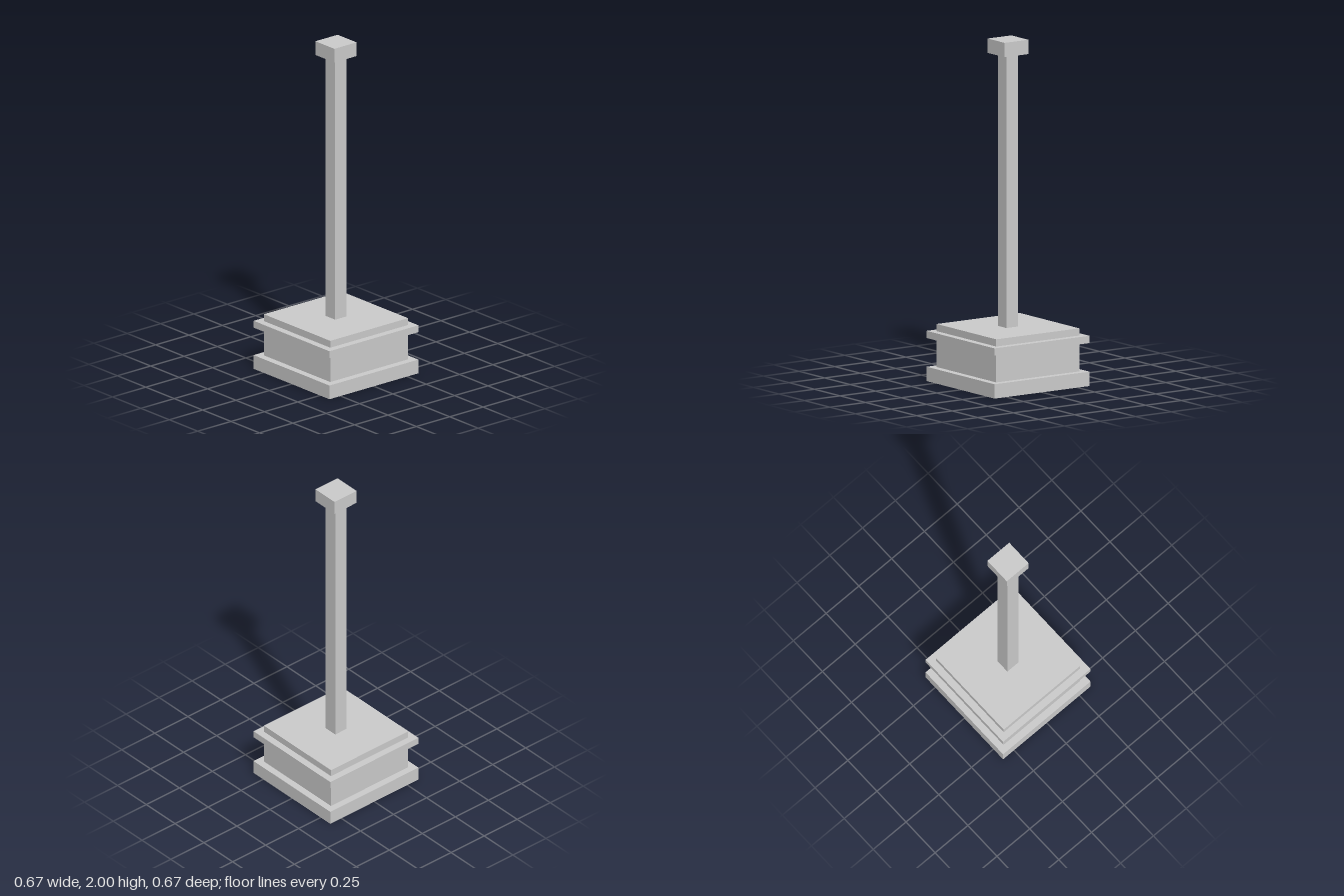
import * as THREE from 'three';

// The whole design sits on a grid of 1/24 unit
const U = 1 / 24;

export function createModel() {
  const group = new THREE.Group();
  const material = new THREE.MeshStandardMaterial({ color: 0xcccccc, flatShading: true });

  // Square block of the given width between two heights, in grid units
  const addBlock = (name, width, bottom, top) => {
    const geometry = new THREE.BoxGeometry(width * U, (top - bottom) * U, width * U);
    const mesh = new THREE.Mesh(geometry, material);
    mesh.name = name;
    mesh.position.y = ((bottom + top) / 2) * U;
    group.add(mesh);
  };

  // Stepped pedestal
  addBlock('plinth', 16, 0, 2);
  addBlock('pedestalBody', 14, 2, 6);
  addBlock('pedestalLedge', 16, 6, 7);
  addBlock('pedestalTop', 14, 7, 8);

  // Slender post with a square cap
  addBlock('post', 2, 8, 46);
  addBlock('postCap', 4, 46, 48);

  return group;
}
